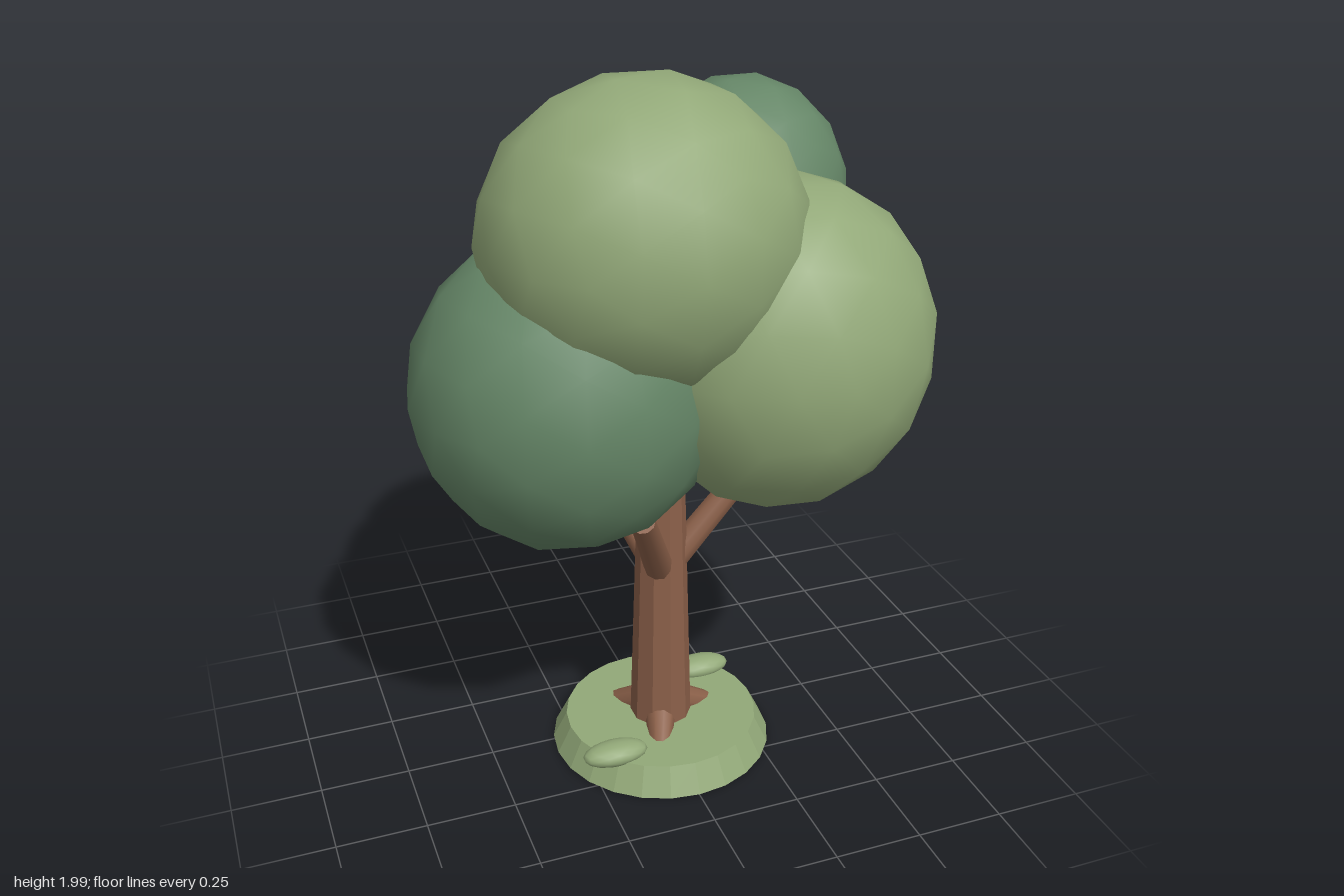
import * as THREE from 'three';

export function createModel() {
  const tree = new THREE.Group();
  tree.name = 'tree';

  const material = (name, color) => {
    const m = new THREE.MeshStandardMaterial({ color });
    m.name = name;
    return m;
  };
  const lightGreen = material('light leaf green', 0x92a878);
  const darkGreen = material('dark leaf green', 0x658667);
  const brown = material('bark brown', 0x8b6049);

  const trunkZ = 0.07;

  const add = (name, geometry, mat) => {
    const mesh = new THREE.Mesh(geometry, mat);
    mesh.name = name;
    tree.add(mesh);
    return mesh;
  };

  // Faceted normals for the low-poly trunk and base
  const faceted = (geometry) => {
    const g = geometry.toNonIndexed();
    g.computeVertexNormals();
    return g;
  };

  // Smooth ellipsoid; the turn varies the outline of each clump
  const blob = (name, mat, center, radii, turn = 0, detail = 2) => {
    const g = new THREE.IcosahedronGeometry(1, detail);
    g.rotateY(turn);
    g.scale(...radii);
    return add(name, g, mat).position.set(...center);
  };

  // Tapered round limb between two points
  const limb = (name, from, to, r0, r1) => {
    const dir = to.clone().sub(from);
    const mesh = add(name, new THREE.CylinderGeometry(r1, r0, dir.length(), 10), brown);
    mesh.position.copy(from).addScaledVector(dir, 0.5);
    mesh.quaternion.setFromUnitVectors(new THREE.Vector3(0, 1, 0), dir.normalize());
  };

  // Point at an angle and distance around the trunk axis
  const around = (degrees, radius, y) => {
    const a = THREE.MathUtils.degToRad(degrees);
    return new THREE.Vector3(radius * Math.cos(a), y, trunkZ + radius * Math.sin(a));
  };

  // Grass base
  const base = add('grassBase', faceted(new THREE.CylinderGeometry(0.28, 0.32, 0.08, 24)), lightGreen);
  base.position.set(0, 0.05, trunkZ);

  // Trunk
  const trunk = add('trunk', faceted(new THREE.CylinderGeometry(0.062, 0.09, 0.94, 10)), brown);
  trunk.position.set(0, 0.53, trunkZ);

  // Three branches, and three roots running into the grass
  [0, 120, 240].forEach((angle, i) => {
    limb(`branch${i + 1}`, around(angle, 0.03, 0.59), around(angle, 0.29, 0.88), 0.042, 0.034);
    limb(`root${i + 1}`, around(angle - 9, 0.05, 0.11), around(angle - 9, 0.22, 0.028), 0.045, 0.024);
  });

  // Grass tufts
  blob('leftTuft', lightGreen, [0.18, 0.1, -0.08], [0.095, 0.033, 0.048]);
  blob('rightTuft', lightGreen, [-0.2, 0.1, 0.24], [0.095, 0.033, 0.048]);

  // Foliage clumps
  blob('topFoliage', lightGreen, [-0.09, 1.6, 0.18], [0.425, 0.405, 0.395], 0.4);
  blob('leftFoliage', lightGreen, [0.27, 1.285, 0.21], [0.42, 0.45, 0.395], 1.1);
  blob('rightFoliage', darkGreen, [-0.28, 1.2, 0.13], [0.415, 0.43, 0.395], 0.2);
  blob('backFoliage', darkGreen, [0, 1.35, -0.2], [0.44, 0.425, 0.405], 0.8);
  blob('upperBackFoliage', darkGreen, [0.31, 1.58, -0.15], [0.295, 0.325, 0.3], 0.5);

  return tree;
}
